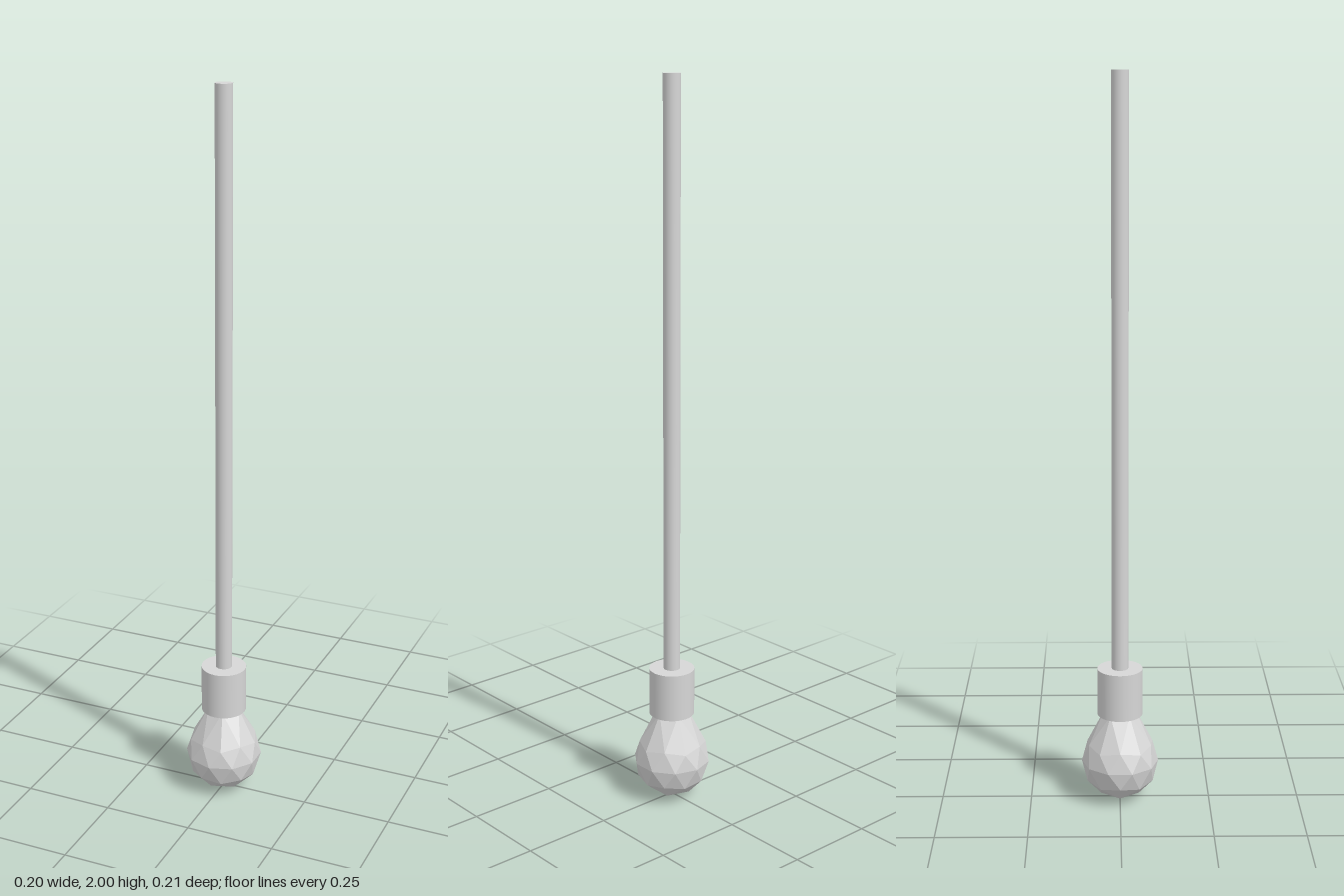
import * as THREE from 'three';
import { ConvexGeometry } from 'three/addons/geometries/ConvexGeometry.js';

export function createModel() {
  const model = new THREE.Group();
  model.name = 'pendantLamp';

  const grey = new THREE.MeshStandardMaterial({ color: 0xd6d6d6 });
  grey.name = 'light grey';

  const add = (name, geometry, y = 0) => {
    const mesh = new THREE.Mesh(geometry, grey);
    mesh.name = name;
    mesh.position.y = y;
    model.add(mesh);
  };

  // Upright cylinder between two heights
  const rod = (name, radius, y0, y1) =>
    add(name, new THREE.CylinderGeometry(radius, radius, y1 - y0, 32), (y0 + y1) / 2);

  rod('cord', 0.023, 0.38, 2);
  rod('socket', 0.063, 0.25, 0.384);

  // Faceted bulb: rings of a once-divided icosahedron, top drawn up into a neck
  // [radius, height, number of points, start angle in degrees]
  const rings = [
    [0.056, 0.018, 5, 36],
    [0.091, 0.053, 5, 0],
    [0.096, 0.061, 5, 36],
    [0.107, 0.110, 10, 18],
    [0.096, 0.157, 5, 0],
    [0.091, 0.165, 5, 36],
    [0.045, 0.256, 5, 0],
  ];
  const points = [new THREE.Vector3(0, 0, 0), new THREE.Vector3(0, 0.285, 0)];
  for (const [radius, y, count, start] of rings) {
    for (let i = 0; i < count; i++) {
      const a = THREE.MathUtils.degToRad(start + (i * 360) / count);
      points.push(new THREE.Vector3(radius * Math.cos(a), y, radius * Math.sin(a)));
    }
  }
  add('bulb', new ConvexGeometry(points));

  return model;
}
